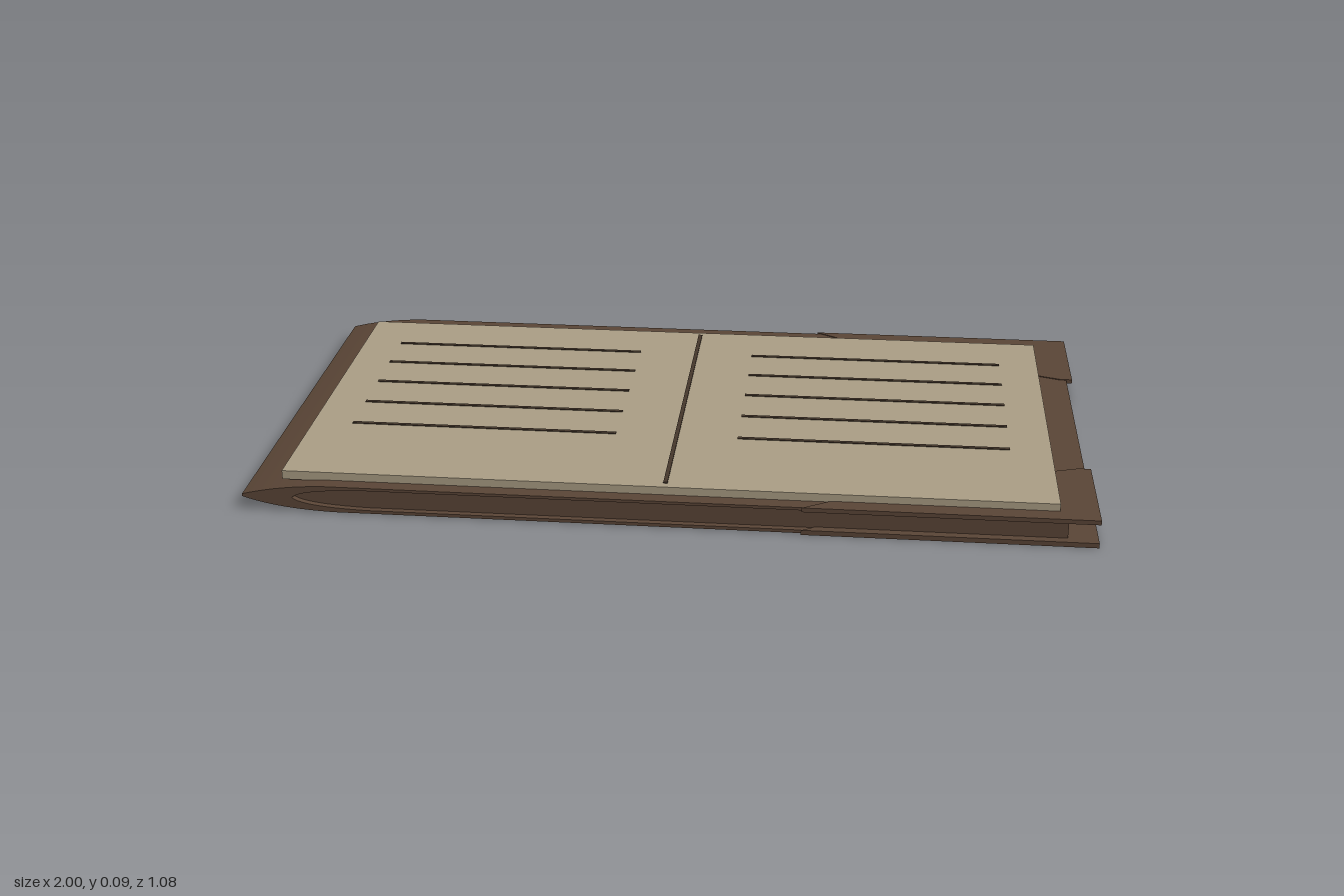
import * as THREE from 'three';
import { toCreasedNormals } from 'three/addons/utils/BufferGeometryUtils.js';

export function createModel() {
  const model = new THREE.Group();
  model.name = 'openNotebook';

  const material = (name, color) => {
    const m = new THREE.MeshStandardMaterial({ color });
    m.name = name;
    return m;
  };
  const leather = material('brown leather', 0x5a4536);
  const paper = material('aged paper', 0xaa9d84);
  const ink = material('dark ink', 0x44362b);

  const add = (name, geometry, mat, parent = model) => {
    const mesh = new THREE.Mesh(geometry, mat);
    mesh.name = name;
    parent.add(mesh);
    return mesh;
  };
  const box = (name, x0, x1, y0, y1, z0, z1, mat, parent) =>
    add(name, new THREE.BoxGeometry(x1 - x0, y1 - y0, z1 - z0), mat, parent)
      .position.set((x0 + x1) / 2, (y0 + y1) / 2, (z0 + z1) / 2);

  // Side profile extruded along z, with smooth curves and sharp edges
  const extrudeZ = (shape, halfWidth) => {
    const g = new THREE.ExtrudeGeometry(shape, {
      depth: halfWidth * 2, bevelEnabled: false, curveSegments: 10,
    });
    g.translate(0, 0, -halfWidth);
    return toCreasedNormals(g, 0.6);
  };

  // Cover: a thin folded sheet with a pointed spine
  const cover = new THREE.Shape();
  cover.moveTo(0.985, 0.068);
  cover.lineTo(-0.8, 0.068);
  cover.quadraticCurveTo(-0.91, 0.065, -1, 0.04);
  cover.lineTo(-1, 0.034);
  cover.quadraticCurveTo(-0.92, 0.006, -0.78, 0.002);
  cover.lineTo(0.985, 0.002);
  cover.lineTo(0.985, 0.01);
  cover.lineTo(-0.7, 0.01);
  cover.quadraticCurveTo(-0.86, 0.014, -0.88, 0.036);
  cover.quadraticCurveTo(-0.86, 0.058, -0.7, 0.061);
  cover.lineTo(0.985, 0.061);
  cover.closePath();
  add('cover', extrudeZ(cover, 0.535), leather);

  // Page block, set back from the cover edges
  const block = new THREE.Shape();
  block.moveTo(0.93, 0.009);
  block.lineTo(0.93, 0.062);
  block.lineTo(-0.7, 0.062);
  block.quadraticCurveTo(-0.87, 0.059, -0.89, 0.036);
  block.quadraticCurveTo(-0.87, 0.013, -0.7, 0.009);
  block.closePath();
  add('pageBlock', extrudeZ(block, 0.52), leather);

  // Corner guards on both boards
  for (const side of [-1, 1]) {
    const guard = new THREE.Shape([
      [0.32, 0.54], [0.45, 0.46], [0.88, 0.3], [0.97, 0.27], [1, 0.27], [1, 0.54],
    ].map(([x, z]) => new THREE.Vector2(x, -z * side)));
    for (const [name, y, depth] of [['lower', 0, 0.012], ['upper', 0.059, 0.011]]) {
      const g = new THREE.ExtrudeGeometry(guard, { depth, bevelEnabled: false });
      g.rotateX(-Math.PI / 2);
      g.translate(0, y, 0);
      add(`${name}CornerGuard${side > 0 ? 'Front' : 'Back'}`, g, leather);
    }
  }

  // Written spread on top
  box('paperSheet', -0.91, 0.91, 0.066, 0.088, -0.46, 0.5, paper);
  const writing = new THREE.Group();
  writing.name = 'writing';
  model.add(writing);
  box('centreFold', -0.005, 0.005, 0.087, 0.091, -0.44, 0.48, ink, writing);
  for (const z of [-0.308, -0.177, -0.046, 0.085, 0.216]) {
    for (const x of [-0.48, 0.48]) {
      box('writtenLine', x - 0.33, x + 0.33, 0.087, 0.09, z - 0.005, z + 0.005, ink, writing);
    }
  }
  return model;
}
